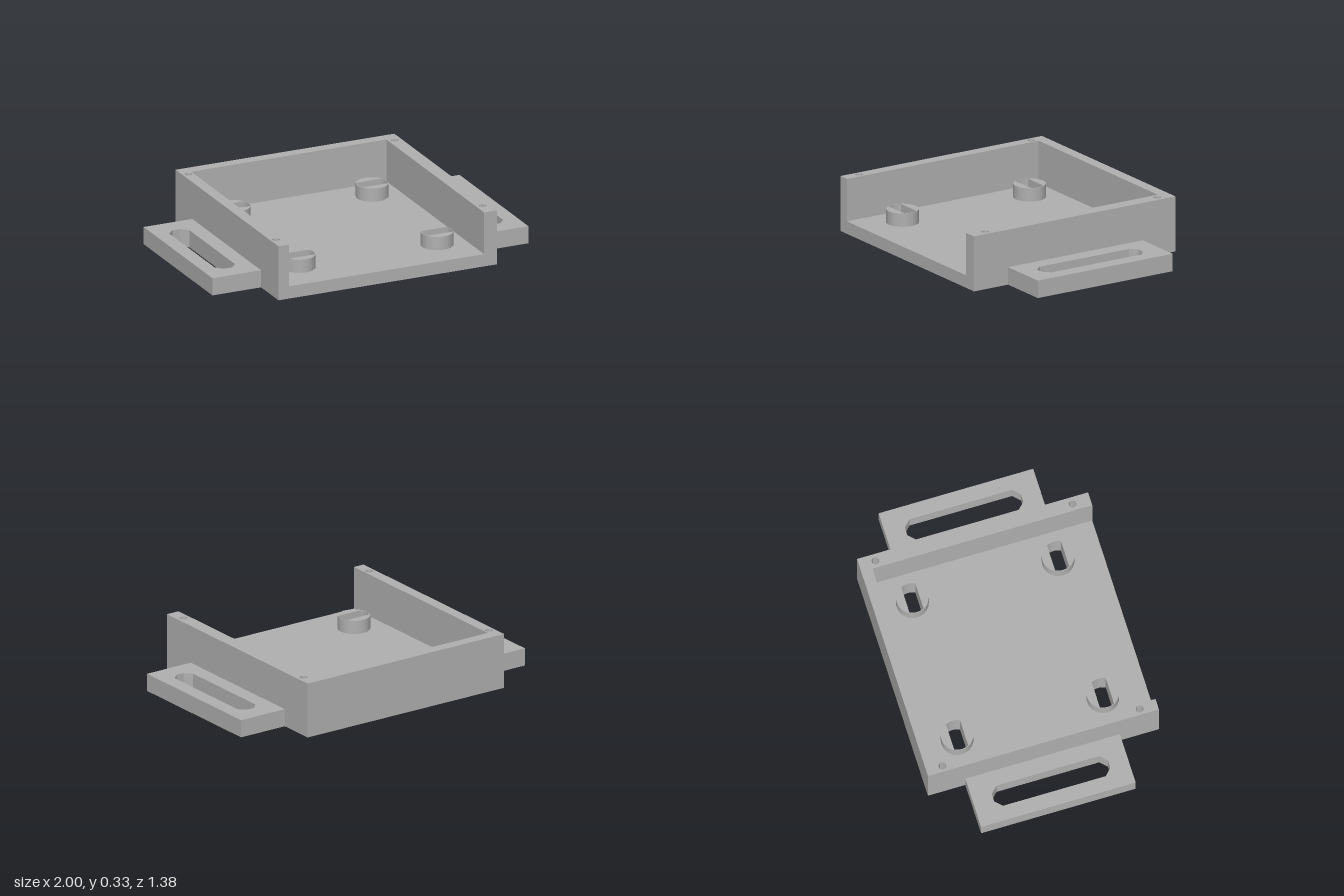
import * as THREE from 'three';

const TAU = Math.PI * 2;
const points = (list) => list.map(([x, z]) => new THREE.Vector2(x, z));
const rect = (x0, x1, z0, z1) => points([[x0, z0], [x1, z0], [x1, z1], [x0, z1]]);

// Regular polygon outline
function ring(cx, cz, r, sides) {
  return points(Array.from({ length: sides }, (_, i) => {
    const a = ((i + 0.5) / sides) * TAU;
    return [cx + r * Math.cos(a), cz + r * Math.sin(a)];
  }));
}

// Slot whose ends follow a circle and whose long sides are straight
function roundEndSlot(cx, cz, r, half) {
  const a = Math.asin(half / r), list = [];
  for (const start of [0, Math.PI]) {
    for (let i = 0; i <= 8; i++) {
      const t = start - a + (2 * a * i) / 8;
      list.push([cx + r * Math.cos(t), cz + r * Math.sin(t)]);
    }
  }
  return points(list);
}

// Long slot with clipped corners
function clippedSlot(x0, x1, z0, z1, c) {
  return points([[x0 + c, z0], [x1 - c, z0], [x1, z0 + c], [x1, z1 - c],
    [x1 - c, z1], [x0 + c, z1], [x0, z1 - c], [x0, z0 + c]]);
}

export function createModel() {
  const group = new THREE.Group();
  const grey = new THREE.MeshStandardMaterial({ color: 0xb0b0b0 });
  grey.name = 'grey plastic';

  // Plan outline in x and z, raised from y0 to y1
  function slab(name, outline, holes, y0, y1) {
    const shape = new THREE.Shape(outline);
    shape.holes = holes.map((h) => new THREE.Path(h));
    const geo = new THREE.ExtrudeGeometry(shape, { depth: y1 - y0, bevelEnabled: false });
    geo.rotateX(Math.PI / 2).translate(0, y1, 0);
    const mesh = new THREE.Mesh(geo, grey);
    mesh.name = name;
    group.add(mesh);
  }

  const W = 0.692, floorTop = 0.075, wallTop = 0.33;
  const mounts = [[-0.44, -0.44], [0.433, -0.44], [-0.44, 0.433], [0.433, 0.433]];
  const slots = mounts.map(([x, z]) => roundEndSlot(x, z, 0.09, 0.042));

  // Floor with four through slots
  slab('floor', rect(-W, W, -W, W), slots, 0, floorTop);

  // Raised bosses around the slots
  mounts.forEach(([x, z], i) => slab('boss', ring(x, z, 0.094, 32), [slots[i]], floorTop, 0.155));

  // Three-sided wall, open to the front, with screw holes in its rim
  const screwHoles = [];
  for (const x of [-0.657, 0.65]) {
    for (const z of [-0.595, 0.587]) screwHoles.push(ring(x, z, 0.023, 8));
  }
  slab('walls', points([[-W, -W], [W, -W], [W, W], [0.61, W], [0.61, -0.625],
    [-0.625, -0.625], [-0.625, W], [-W, W]]), screwHoles, floorTop, wallTop);

  // Slotted mounting ears on both sides
  for (const s of [-1, 1]) {
    const [x0, x1] = [s * W, s].sort((a, b) => a - b);
    const [h0, h1] = [s * 0.785, s * 0.913].sort((a, b) => a - b);
    slab(s > 0 ? 'leftEar' : 'rightEar', rect(x0, x1, -0.468, 0.458),
      [clippedSlot(h0, h1, -0.35, 0.345, 0.04)], 0, 0.105);
  }
  return group;
}
